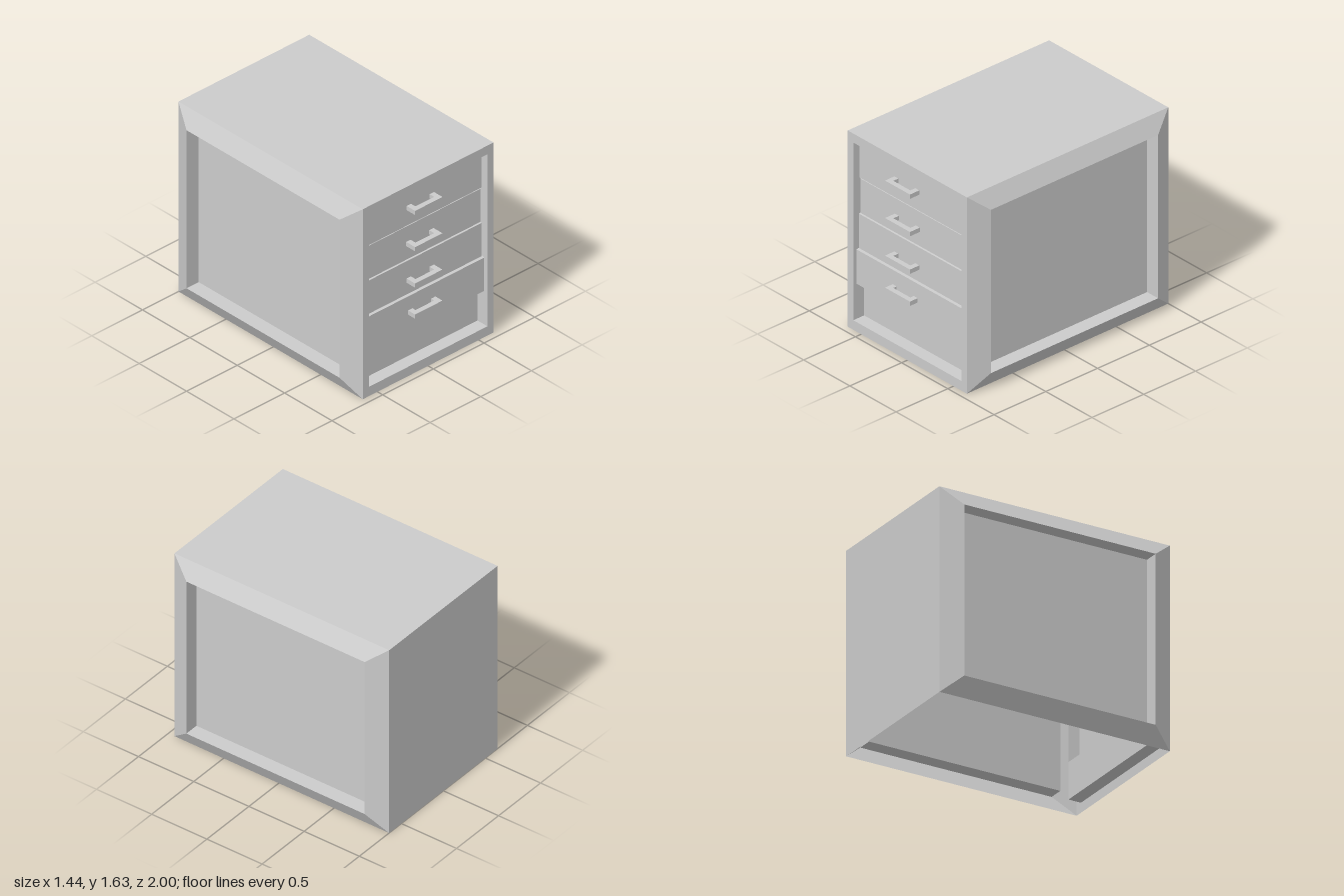
import * as THREE from 'three';

const material = new THREE.MeshStandardMaterial({ color: 0xcccccc, flatShading: true, side: THREE.DoubleSide });

// Joins rectangular rings [left, bottom, right, top, depth] facing +z; optionally closes the last one
function rings(list, cap = true) {
  const corners = list.map(([l, b, r, t, d]) => [[l, b, d], [r, b, d], [r, t, d], [l, t, d]]);
  const pos = [];
  const quad = (a, b, c, d) => pos.push(...a, ...b, ...c, ...a, ...c, ...d);
  for (let i = 0; i + 1 < corners.length; i++) {
    const p = corners[i], q = corners[i + 1];
    for (let k = 0; k < 4; k++) {
      const n = (k + 1) % 4;
      quad(p[k], p[n], q[n], q[k]);
    }
  }
  if (cap) quad(...corners[corners.length - 1]);
  const geo = new THREE.BufferGeometry();
  geo.setAttribute('position', new THREE.Float32BufferAttribute(pos, 3));
  geo.computeVertexNormals();
  return geo;
}

export function createModel() {
  const group = new THREE.Group();
  const add = (name, geo, parent = group) => {
    const mesh = new THREE.Mesh(geo, material);
    mesh.name = name;
    parent.add(mesh);
    return mesh;
  };

  const W = 0.645, H = 1.635, FRONT = 0.945, BACK = -1;
  const OPEN = 0.585, SILL = 0.08, HEAD = 1.56, INNER = 0.84;

  // Cabinet shell, open underneath
  add('topPanel', rings([[-W, -FRONT, W, -BACK, H]]).rotateX(-Math.PI / 2));
  add('backPanel', rings([[-W, 0, W, H, -BACK]]).rotateY(Math.PI));
  add('frontFrame', rings([
    [-W, 0, W, H, FRONT],
    [-OPEN, SILL, OPEN, HEAD, FRONT],
    [-OPEN, SILL, OPEN, HEAD, INNER],
  ], false));

  // Sides: bevel out to a rim, then a recessed panel
  for (const side of [1, -1]) {
    const span = (z0, z1) => (side > 0 ? [-z1, -z0] : [z0, z1]);
    const [o0, o1] = span(BACK, FRONT);
    const [i0, i1] = span(-0.835, 0.78);
    add(side > 0 ? 'leftSide' : 'rightSide', rings([
      [o0, 0, o1, H, W],
      [i0, 0.14, i1, 1.5, 0.72],
      [i0, 0.14, i1, 1.5, 0.6],
    ]).rotateY(side * Math.PI / 2));
  }

  // Blank panel below the drawers
  add('lowerPanel', rings([[-OPEN, SILL, OPEN, 0.378, INNER]]));

  // Handle outline seen from above: a bar with two short legs
  const handleGeometry = (faceZ) => {
    const s = new THREE.Shape();
    const pts = [[-0.18, faceZ], [-0.18, 1], [0.09, 1], [0.09, faceZ],
      [0.047, faceZ], [0.047, 0.958], [-0.137, 0.958], [-0.137, faceZ]];
    s.setFromPoints(pts.map(([x, z]) => new THREE.Vector2(x, -z)));
    return new THREE.ExtrudeGeometry(s, { depth: 0.036, bevelEnabled: false })
      .rotateX(-Math.PI / 2).translate(0, -0.018, 0);
  };

  // Four tapered drawers: bottom, top, half width of the face, face depth, handle height
  const drawers = [
    [1.265, 1.56, 0.558, 0.91, 1.422],
    [0.97, 1.265, 0.553, 0.905, 1.11],
    [0.674, 0.97, 0.56, 0.91, 0.797],
    [0.378, 0.674, 0.572, 0.925, 0.53],
  ];
  drawers.forEach(([b, t, w, z, handleY], i) => {
    const drawer = new THREE.Group();
    drawer.name = `drawer${i + 1}`;
    group.add(drawer);
    add('drawerFront', rings([
      [-OPEN, b, OPEN, t, INNER],
      [-w, b + 0.004, w, t - 0.006, z],
    ]), drawer);
    add('handle', handleGeometry(z), drawer).position.y = handleY;
  });

  return group;
}
